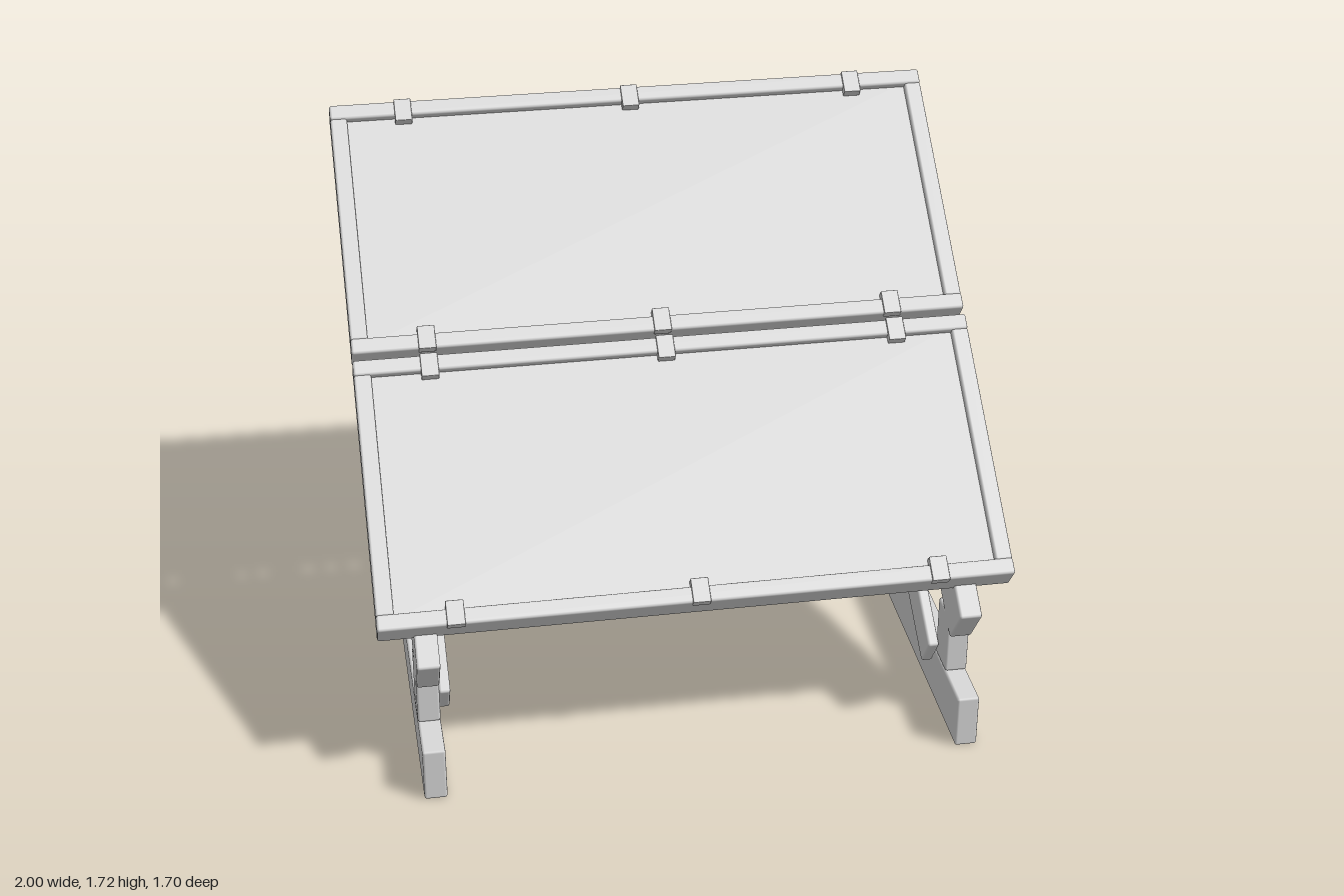
import * as THREE from 'three';
import { RoundedBoxGeometry } from 'three/addons/geometries/RoundedBoxGeometry.js';

const grey = new THREE.MeshStandardMaterial({ color: 0xd9d9d9 });
grey.name = 'plain grey';

// Board with slightly eased edges; tilt raises its rear end.
function board(parent, name, size, pos, tilt = 0, radius = 0.008) {
  const mesh = new THREE.Mesh(new RoundedBoxGeometry(...size, 1, radius), grey);
  mesh.name = name;
  mesh.position.set(...pos);
  mesh.rotation.x = tilt;
  parent.add(mesh);
}

// Upright whose top is cut to the slope of the rafter.
function rearPost(parent, x) {
  const b = 0.006, depth = 0.072 - 2 * b;
  const shape = new THREE.Shape();
  // shape x runs toward the back (-z)
  shape.moveTo(0.57 + b, 0.18 + b);
  shape.lineTo(0.687 - b, 0.18 + b);
  shape.lineTo(0.687 - b, 1.365);
  shape.lineTo(0.57 + b, 1.285);
  const geo = new THREE.ExtrudeGeometry(shape, {
    depth, bevelEnabled: true, bevelSize: b, bevelThickness: b, bevelSegments: 1,
  });
  geo.translate(0, 0, -depth / 2);
  geo.rotateY(Math.PI / 2);
  const mesh = new THREE.Mesh(geo, grey);
  mesh.name = 'rearPost';
  mesh.position.x = x;
  parent.add(mesh);
}

// Framed panel: origin at the low end, -z runs up the slope, y is its thickness.
function framedPanel(name, length) {
  const panel = new THREE.Group();
  panel.name = name;
  const rail = 0.054, bottom = -0.008, top = 0.092;
  const mid = (top + bottom) / 2, thick = top - bottom;
  board(panel, 'panelSheet', [1.92, 0.066, length - 0.06], [0, 0.035, -length / 2], 0, 0.002);
  for (const s of [rail / 2, length - rail / 2]) {
    board(panel, 'endRail', [1.995, thick, rail], [0, mid, -s]);
  }
  for (const side of [-1, 1]) {
    board(panel, 'sideRail', [0.055, thick - 0.006, length - 2 * rail + 0.01],
      [side * 0.97, mid, -length / 2]);
  }
  // Thin clips over both end rails
  for (const x of [-0.757, 0, 0.757]) {
    for (const s of [0.037, length - 0.037]) {
      board(panel, 'clip', [0.056, 0.032, 0.08], [x, 0.084, -s], 0, 0.003);
    }
  }
  return panel;
}

export function createModel() {
  const model = new THREE.Group();
  model.name = 'tiltedPanelRack';

  // Two side trestles
  for (const side of [-1, 1]) {
    const trestle = new THREE.Group();
    trestle.name = side > 0 ? 'leftTrestle' : 'rightTrestle';
    const x = side * 0.85;
    board(trestle, 'baseBeam', [0.072, 0.18, 1.7], [x, 0.09, 0]);
    board(trestle, 'frontPost', [0.072, 0.21, 0.12], [x, 0.285, 0.632]);
    rearPost(trestle, x);
    board(trestle, 'rafter', [0.072, 0.178, 1.885], [x, 0.96, 0.01], 0.638);
    board(trestle, 'diagonalBrace', [0.036, 0.135, 1.412], [side * 0.793, 0.58, 0.0015], 0.6);
    model.add(trestle);
  }

  // Boards joining the rear posts
  for (const y of [0.448, 1.015]) {
    board(model, 'rearCrossBoard', [1.9, 0.177, 0.035], [0, y, -0.72]);
  }

  // Panels lying on the slope
  const deck = new THREE.Group();
  deck.name = 'panelDeck';
  deck.position.set(0, 0.52, 0.72);
  deck.rotation.x = 0.658;
  const lower = framedPanel('lowerPanel', 0.903);
  const upper = framedPanel('upperPanel', 0.903);
  upper.position.z = -0.925;
  deck.add(lower, upper);
  model.add(deck);

  return model;
}
